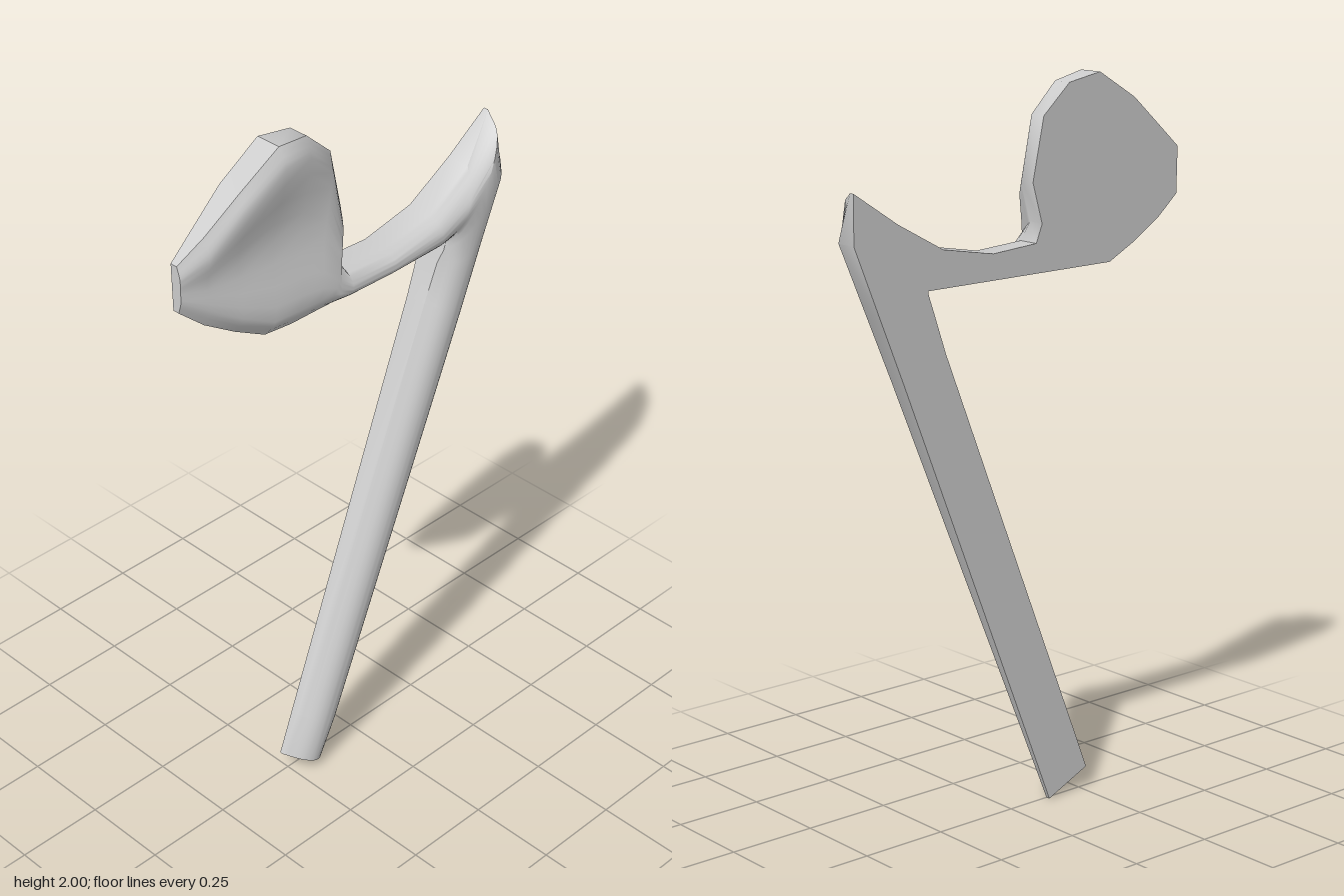
import * as THREE from 'three';
import { toCreasedNormals } from 'three/addons/utils/BufferGeometryUtils.js';

// The flat back lies on one slightly tilted plane
const backZ = (x, y) => -0.016 - 0.03 * x - 0.018 * y;

// Cross-sections: inner point, outer point, then front depths from inner to outer:
// [ix, iy, ox, oy,  inner wall, inner shoulder, middle, outer shoulder, outer wall]
const HEAD = [
  [-0.57, 1.65, -0.57, 1.78, -0.01, 0, 0, 0, -0.01],
  [-0.5, 1.59, -0.5, 1.84, 0, 0.02, 0.018, 0.03, 0.012],
  [-0.41, 1.535, -0.4, 1.925, 0.01, 0.04, 0.025, 0.05, 0.03],
  [-0.32, 1.49, -0.27, 2.0, 0.02, 0.055, 0.03, 0.06, 0.03],
  [-0.24, 1.49, -0.16, 1.98, 0.03, 0.06, 0.03, 0.035, 0.01],
  [-0.18, 1.49, -0.07, 1.9, 0.03, 0.062, 0.035, 0.022, 0],
  [-0.14, 1.49, -0.035, 1.73, 0.03, 0.064, 0.05, 0.03, 0],
  [-0.11, 1.49, -0.07, 1.62, 0.03, 0.064, 0.06, 0.045, 0.005],
  [-0.06, 1.49, -0.05, 1.57, 0.03, 0.06, 0.066, 0.058, 0.02],
];
const ARM = [
  [0.1, 1.49, 0.1, 1.56, 0.03, 0.06, 0.066, 0.058, 0.02],
  [0.28, 1.49, 0.27, 1.59, 0.03, 0.06, 0.066, 0.055, 0.02],
  [0.32, 1.49, 0.42, 1.67, 0.03, 0.06, 0.066, 0.045, 0.01],
  [0.32, 1.485, 0.56, 1.76, 0.03, 0.06, 0.062, 0.015, -0.05],
];
const STEM = [
  [0.315, 1.47, 0.56, 1.63, 0.03, 0.06, 0.064, 0.04, 0],
  [0.3, 1.43, 0.48, 1.445, 0.02, 0.058, 0.066, 0.05, 0],
  [0.26, 1.32, 0.4, 1.26, 0.015, 0.056, 0.066, 0.052, 0],
  [-0.22, 0.18, -0.08, 0.12, 0.01, 0.056, 0.066, 0.052, 0],
  [-0.27, 0.06, -0.13, 0, 0, 0.045, 0.06, 0.045, 0],
];
const STEPS = 16;

// Closed ring: back corner, smooth front curve, back corner
function ring([ix, iy, ox, oy, ...depths]) {
  const inset = Math.min(0.25, 0.05 / Math.hypot(ox - ix, oy - iy));
  const at = (t, z) => new THREE.Vector3(ix + (ox - ix) * t, iy + (oy - iy) * t, z);
  const front = [0, inset, 0.5, 1 - inset, 1].map((t, k) => at(t, depths[k]));
  return [
    at(0, backZ(ix, iy)),
    ...new THREE.CatmullRomCurve3(front).getPoints(STEPS),
    at(1, backZ(ox, oy)),
  ];
}

function loftBody(rings) {
  const n = rings[0].length;
  const index = [];
  // Head-end cap
  for (let j = 1; j < n - 1; j++) index.push(0, j, j + 1);
  // Skin between neighbouring rings
  for (let i = 0; i < rings.length - 1; i++) {
    for (let j = 0; j < n; j++) {
      const k = (j + 1) % n;
      const a = i * n + j, b = a + n, c = (i + 1) * n + k, d = i * n + k;
      index.push(a, b, c, a, c, d);
    }
  }
  // Foot cap
  const e = (rings.length - 1) * n;
  for (let j = 1; j < n - 1; j++) index.push(e, e + j + 1, e + j);
  const g = new THREE.BufferGeometry().setFromPoints(rings.flat());
  g.setIndex(index);
  return toCreasedNormals(g, 0.7);
}

// Cuts a run of vertices out of the body, keeping its shared normals
function slice(body, from, to) {
  const g = new THREE.BufferGeometry();
  for (const name of ['position', 'normal']) {
    const data = body.getAttribute(name).array.slice(from * 3, to * 3);
    g.setAttribute(name, new THREE.BufferAttribute(data, 3));
  }
  return g;
}

export function createModel() {
  const group = new THREE.Group();
  const material = new THREE.MeshStandardMaterial({ color: 0xcccccc });
  const rings = [...HEAD, ...ARM, ...STEM].map(ring);
  const body = loftBody(rings);
  const n = rings[0].length;
  const skinStart = (n - 2) * 3;
  const cut = (sections) => skinStart + sections * n * 6;
  const armStart = cut(HEAD.length - 1);
  const stemStart = cut(HEAD.length + ARM.length - 1);
  const parts = [
    ['dishedHead', 0, armStart],
    ['curvedArm', armStart, stemStart],
    ['slantedStem', stemStart, body.getAttribute('position').count],
  ];
  for (const [name, from, to] of parts) {
    const mesh = new THREE.Mesh(slice(body, from, to), material);
    mesh.name = name;
    group.add(mesh);
  }
  return group;
}
